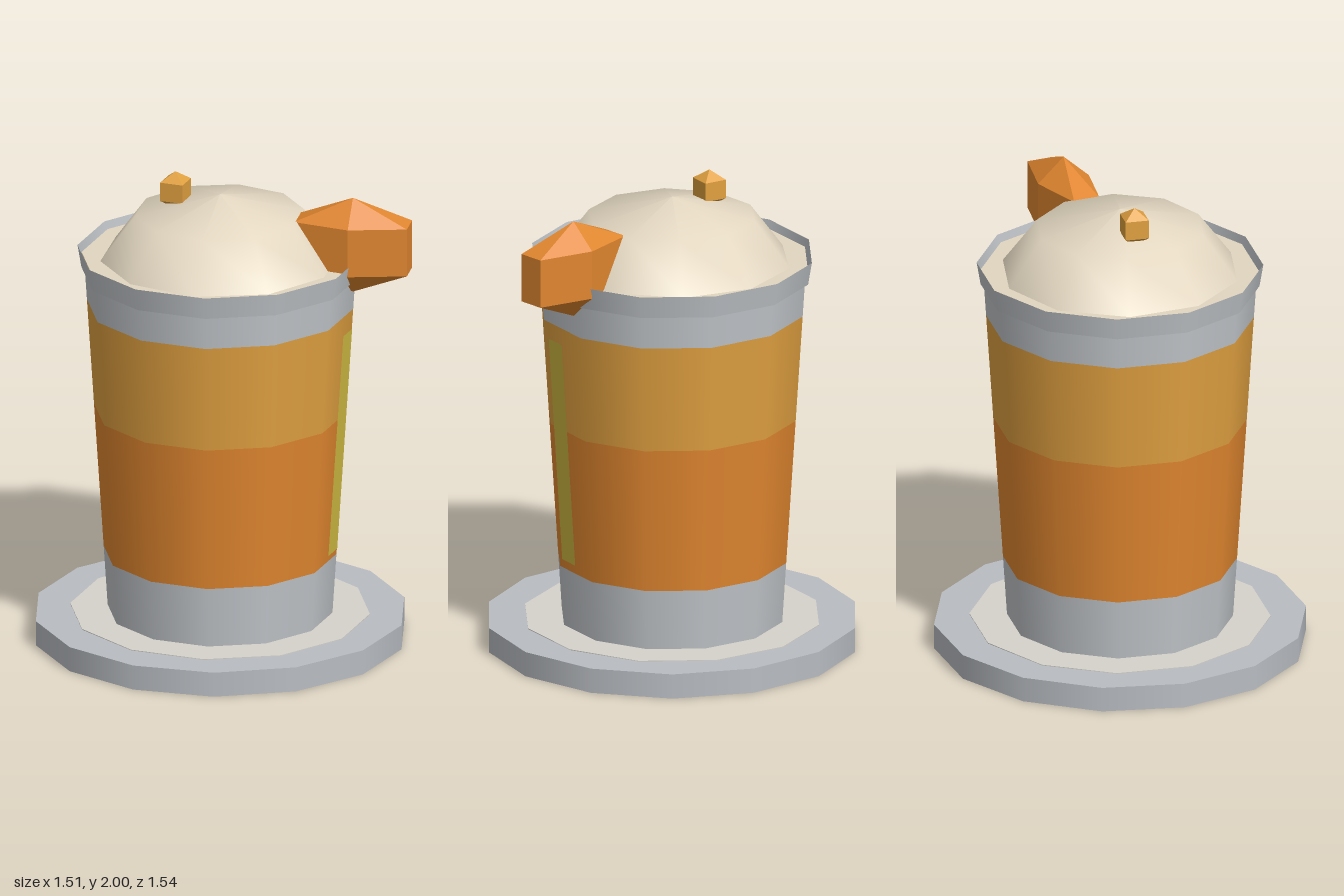
import * as THREE from 'three';

const mat = (name, color, side = THREE.FrontSide) =>
  new THREE.MeshStandardMaterial({ name, color, side });

export function createModel() {
  const model = new THREE.Group();
  model.name = 'dessertCup';

  const silver = mat('silver', 0xc0c4c8, THREE.DoubleSide);
  const plateGrey = mat('plateGrey', 0xb9bdc2);
  const paper = mat('paper', 0xd6d3cc);
  const orange = mat('orange', 0xe0862f);
  const amber = mat('amber', 0xe0a040);
  const cream = mat('cream', 0xe2d6c0);
  const yellow = mat('yellow', 0xd0bb42, THREE.DoubleSide);

  const add = (name, geometry, material, x = 0, y = 0, z = 0) => {
    const mesh = new THREE.Mesh(geometry, material);
    mesh.name = name;
    mesh.position.set(x, y, z);
    model.add(mesh);
    return mesh;
  };

  // Faceted lump: a coarse sphere with flat normals
  const lump = (radius, sides) => {
    const g = new THREE.SphereGeometry(radius, sides, 3).toNonIndexed();
    g.computeVertexNormals();
    return g;
  };

  // Saucer and the paper round on it
  add('saucer', new THREE.CylinderGeometry(0.772, 0.772, 0.105, 14), plateGrey, 0, 0.0525);
  add('paperRound', new THREE.CylinderGeometry(0.62, 0.62, 0.004, 12), paper, 0, 0.106);

  // Tapered cup wall, split into coloured bands
  const wallRadius = y => 0.465 + (y - 0.105) * 0.0645;
  const bands = [
    ['cupFoot', 0.105, 0.365, silver],
    ['lowerBand', 0.365, 0.985, orange],
    ['upperBand', 0.985, 1.44, amber],
    ['cupNeck', 1.44, 1.64, silver],
  ];
  for (const [name, y0, y1, material] of bands) {
    add(name, new THREE.CylinderGeometry(wallRadius(y1), wallRadius(y0), y1 - y0, 12, 1, true),
      material, 0, (y0 + y1) / 2);
  }

  // Flared open rim
  add('rim', new THREE.CylinderGeometry(0.59, 0.574, 0.095, 12, 1, true), silver, 0, 1.6275);

  // Cream filling and its dome
  add('creamFilling', new THREE.CylinderGeometry(0.573, 0.571, 0.03, 12), cream, 0, 1.63);
  const domeProfile = [0, 45, 90].map(deg => {
    const a = THREE.MathUtils.degToRad(deg);
    return new THREE.Vector2(deg === 90 ? 0 : 0.495 * Math.cos(a), 0.275 * Math.sin(a));
  });
  add('creamDome', new THREE.LatheGeometry(domeProfile, 10), cream, 0, 1.645);

  // Small crumb on top and the large wedge on the rim
  add('crumb', lump(0.08, 4), amber, -0.145, 1.92, -0.125);
  const wedge = add('fruitWedge', lump(1, 6), orange, 0.46, 1.735, 0.312);
  wedge.scale.set(0.132, 0.205, 0.316);
  wedge.rotation.y = 0.963;

  // Slanted strip standing just off the cup wall
  const strip = add('sideStrip', new THREE.PlaneGeometry(0.1, 0.972), yellow, 0.373, 0.905, 0.38);
  strip.rotation.set(Math.atan(0.068), Math.PI / 4, 0, 'YXZ');

  return model;
}
